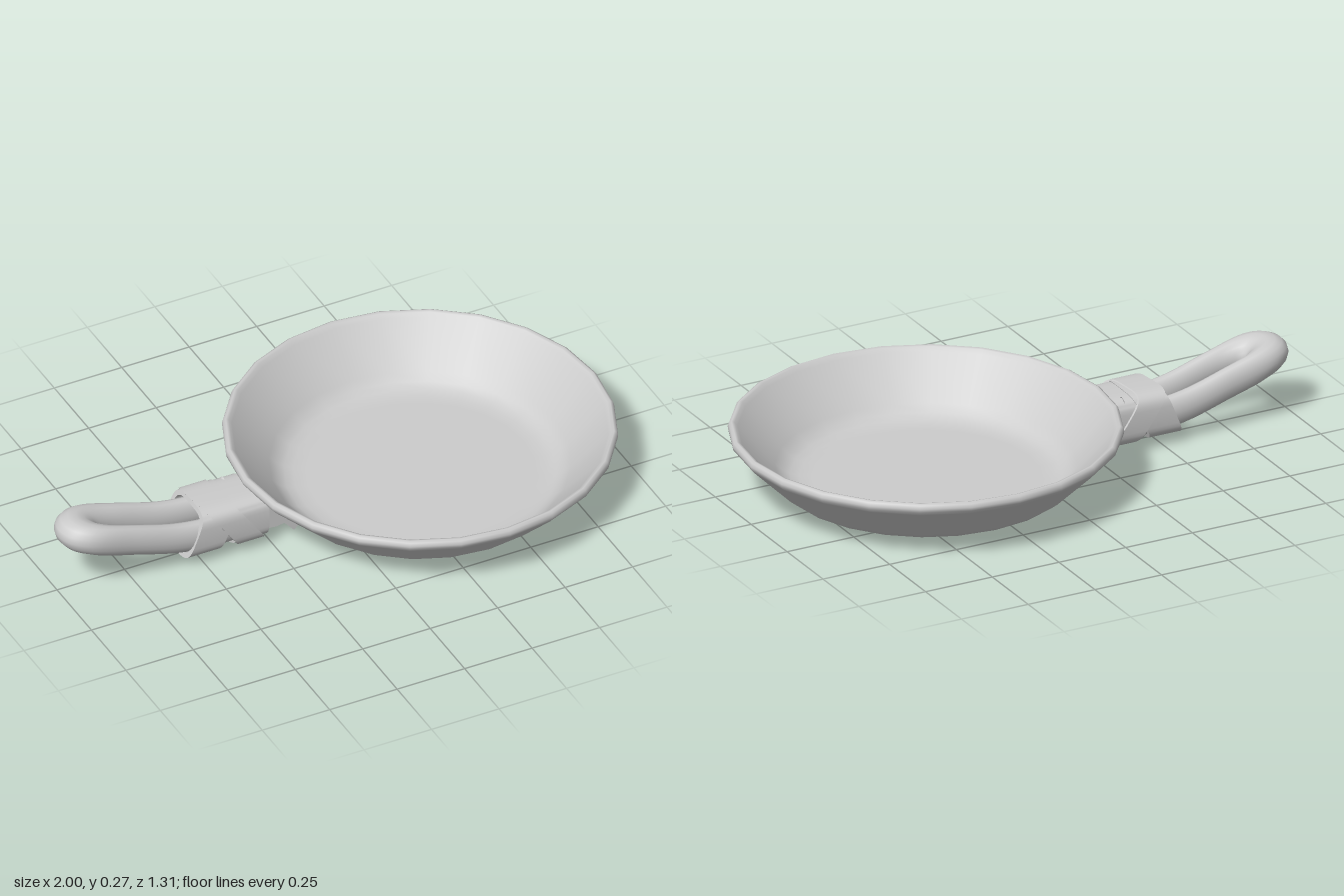
import * as THREE from 'three';
import { toCreasedNormals } from 'three/addons/utils/BufferGeometryUtils.js';

const PAN_X = 0.345;
const material = new THREE.MeshStandardMaterial({ color: 0xcccccc, side: THREE.DoubleSide });

function addMesh(group, name, geometry) {
  const mesh = new THREE.Mesh(geometry, material);
  mesh.name = name;
  group.add(mesh);
  return mesh;
}

// Skin a list of closed cross-sections; optionally join the last one to the first
function skin(rings, closed) {
  const n = rings[0].length, m = rings.length, index = [];
  for (let i = 0; i < (closed ? m : m - 1); i++) {
    const k = (i + 1) % m;
    for (let j = 0; j < n; j++) {
      const l = (j + 1) % n;
      const a = i * n + j, b = i * n + l, c = k * n + j, d = k * n + l;
      index.push(a, b, c, b, d, c);
    }
  }
  const geometry = new THREE.BufferGeometry();
  geometry.setAttribute('position', new THREE.Float32BufferAttribute(rings.flat(2), 3));
  geometry.setIndex(index);
  geometry.computeVertexNormals();
  return geometry;
}

// Mirrored U-shaped outline in the x-z plane
function uCurve(half) {
  const points = [...half, ...half.slice(0, -1).reverse().map(([x, z]) => [x, -z])];
  return new THREE.CatmullRomCurve3(points.map(([x, z]) => new THREE.Vector3(x, 0, z)));
}

// Looped handle: oval sections spanning from the outer to the inner outline
function handleGeometry() {
  const outer = uCurve([[-0.35, 0.1], [-0.55, 0.1], [-0.75, 0.102], [-0.92, 0.098], [-0.98, 0.06], [-1, 0]]);
  const inner = uCurve([[-0.35, 0.035], [-0.55, 0.035], [-0.72, 0.036], [-0.8, 0.029], [-0.84, 0.015], [-0.85, 0]]);
  const rise = new THREE.SplineCurve([[-1, 0.224], [-0.9, 0.21], [-0.75, 0.167], [-0.6, 0.122], [-0.48, 0.105], [-0.35, 0.105]]
    .map(([x, y]) => new THREE.Vector2(x, y))).getPoints(60);
  const heightAt = x => {
    const k = Math.max(1, rise.findIndex(p => p.x >= x));
    const a = rise[k - 1], b = rise[k];
    return THREE.MathUtils.mapLinear(x, a.x, b.x, a.y, b.y);
  };
  const rings = [];
  for (let i = 0; i <= 60; i++) {
    const o = outer.getPoint(i / 60), n = inner.getPoint(i / 60);
    const ring = [];
    for (let j = 0; j < 16; j++) {
      const a = j / 16 * Math.PI * 2;
      const p = n.clone().lerp(o, 0.5 + 0.5 * Math.cos(a));
      ring.push([p.x, heightAt(p.x) + 0.057 * Math.sin(a), p.z]);
    }
    rings.push(ring);
  }
  return skin(rings, false);
}

// Slanted strap around the handle, with a flat rectangular section
function strapGeometry({ x, width, slantY, slantZ, scale }) {
  const soften = v => Math.sign(v) * Math.sqrt(Math.abs(v));
  const rings = [];
  for (let i = 0; i < 40; i++) {
    const a = i / 40 * Math.PI * 2;
    const point = (side, shrink) => {
      const y = 0.085 * scale * soften(Math.sin(a)) * shrink;
      const z = 0.108 * scale * soften(Math.cos(a)) * shrink;
      return [x + side * width / 2 + slantY * y + slantZ * z, 0.115 + y, z];
    };
    rings.push([point(-1, 1), point(1, 1), point(1, 0.84), point(-1, 0.84)]);
  }
  return toCreasedNormals(skin(rings, true), 0.8);
}

// Side outline in x-y, extruded symmetrically across z
function slab(points, depth) {
  const shape = new THREE.Shape(points.map(([x, y]) => new THREE.Vector2(x, y)));
  return new THREE.ExtrudeGeometry(shape, { depth, bevelEnabled: false }).translate(0, 0, -depth / 2);
}

export function createModel() {
  const model = new THREE.Group();
  model.name = 'fryingPan';

  // Dish: underside, flared wall, rolled rim, inner wall and cooking floor
  const profile = [
    [0, 0], [0.37, 0], [0.4, 0.003], [0.455, 0.018], [0.485, 0.032], [0.51, 0.052],
    [0.64, 0.18], [0.653, 0.195], [0.655, 0.207], [0.651, 0.219], [0.642, 0.224],
    [0.632, 0.221], [0.622, 0.208], [0.5, 0.075], [0.475, 0.052], [0.45, 0.039], [0.42, 0.032], [0.38, 0.03], [0, 0.03],
  ].map(([r, y]) => new THREE.Vector2(r, y));
  addMesh(model, 'panDish', new THREE.LatheGeometry(profile, 24)).position.x = PAN_X;

  const handle = new THREE.Group();
  handle.name = 'handle';
  model.add(handle);
  addMesh(handle, 'handleLoop', handleGeometry());

  // Tang joining the handle to a plate lying on the sloping wall
  addMesh(handle, 'tang', slab([[-0.42, 0.06], [-0.22, 0.045], [-0.165, 0.055], [-0.265, 0.16], [-0.42, 0.16]], 0.14));
  addMesh(handle, 'mountingPlate', slab([[-0.17, 0.03], [-0.155, 0.045], [-0.275, 0.18], [-0.295, 0.17]], 0.19));

  // Crossed straps wrapped around the joint
  const straps = [
    { x: -0.475, width: 0.12, slantY: 0.4, slantZ: 0, scale: 1 },
    { x: -0.345, width: 0.12, slantY: 0, slantZ: 0.18, scale: 0.97 },
    { x: -0.39, width: 0.1, slantY: -0.7, slantZ: 0.1, scale: 1.04 },
  ];
  straps.forEach((strap, i) => addMesh(handle, `strap${i + 1}`, strapGeometry(strap)));

  return model;
}
